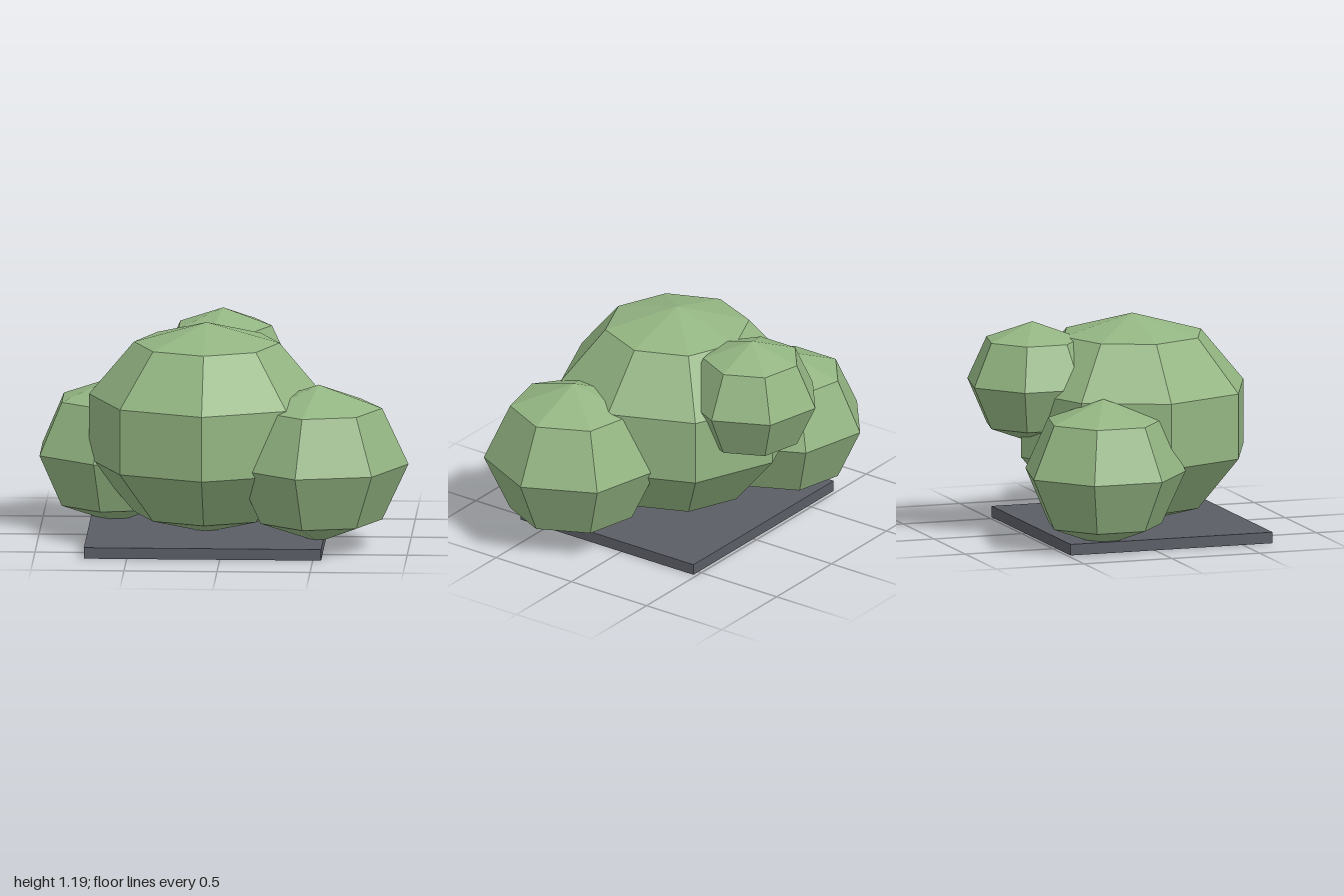
import * as THREE from 'three';

export function createModel() {
  const model = new THREE.Group();
  model.name = 'bush';

  const leafGreen = new THREE.MeshStandardMaterial({ color: 0x93b582, flatShading: true });
  leafGreen.name = 'leafGreen';
  const slateGrey = new THREE.MeshStandardMaterial({ color: 0x5b5d66, flatShading: true });
  slateGrey.name = 'slateGrey';

  // Flat base slab
  const slab = new THREE.Mesh(new THREE.BoxGeometry(1.275, 0.06, 1.15), slateGrey);
  slab.name = 'baseSlab';
  slab.position.set(-0.0925, 0.03, 0.095);
  model.add(slab);

  // Faceted leaf clump with a corner pointing to +x; slightly squashed in height
  function addClump(name, [x, y, z], radius, halfHeight, sides, rows) {
    const geometry = new THREE.SphereGeometry(radius, sides, rows, Math.PI);
    geometry.scale(1, halfHeight / radius, 1);
    const clump = new THREE.Mesh(geometry, leafGreen);
    clump.name = name;
    clump.position.set(x, y, z);
    model.add(clump);
  }

  addClump('mainClump', [-0.095, 0.612, 0.095], 0.665, 0.574, 8, 5);
  addClump('leftClump', [0.518, 0.467, 0.337], 0.482, 0.43, 7, 4);
  addClump('rightClump', [-0.6, 0.417, -0.247], 0.444, 0.4, 7, 4);
  addClump('upperBackClump', [-0.03, 0.83, -0.45], 0.37, 0.33, 7, 4);

  return model;
}
